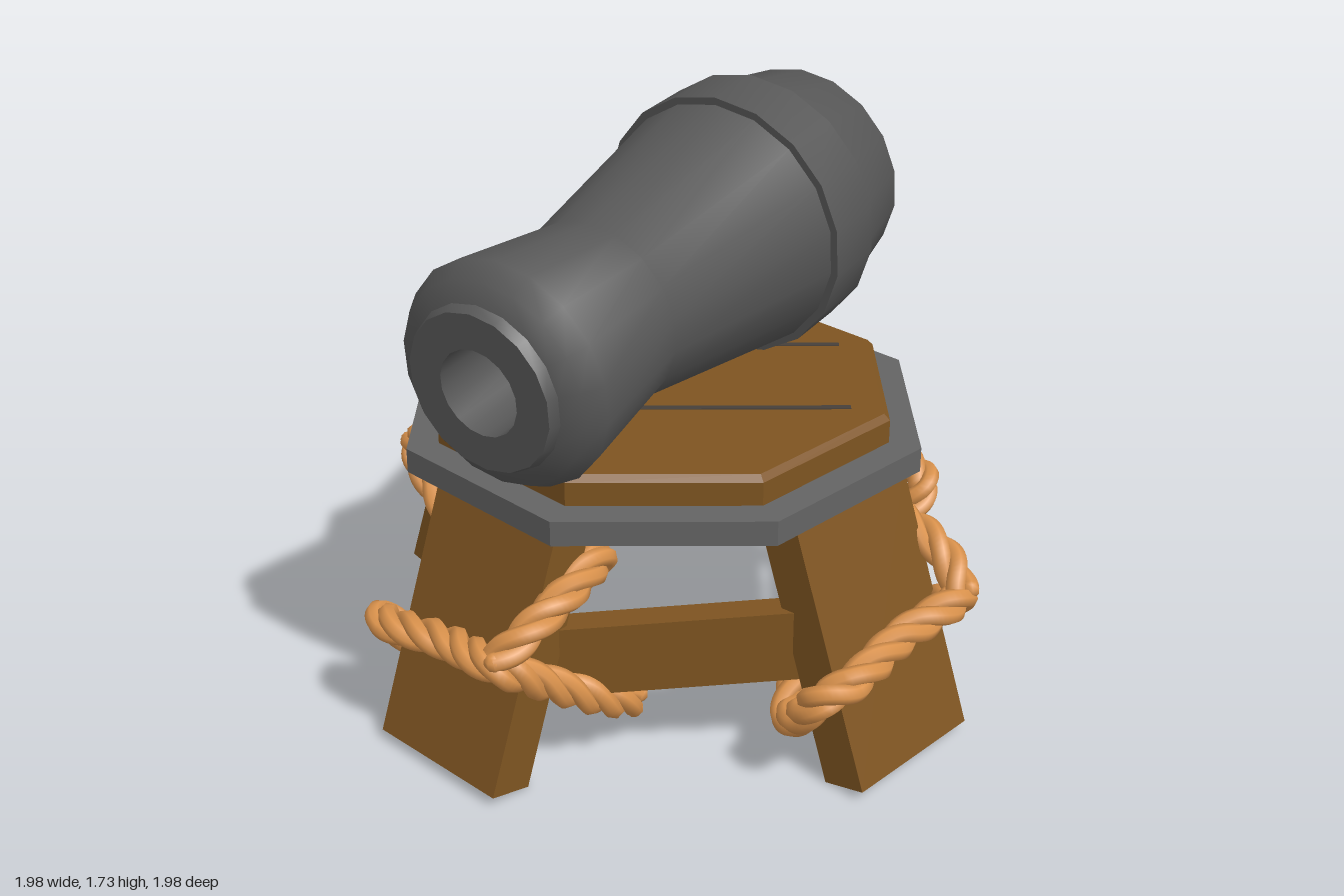
import * as THREE from 'three';
import { toCreasedNormals, mergeGeometries } from 'three/addons/utils/BufferGeometryUtils.js';

const material = (name, color) => {
  const m = new THREE.MeshStandardMaterial({ color });
  m.name = name;
  return m;
};

function addMesh(parent, name, geometry, mat) {
  const mesh = new THREE.Mesh(geometry, mat);
  mesh.name = name;
  parent.add(mesh);
  return mesh;
}

// Three strands twisted around a common path
function ropeGeometry(path) {
  const curve = new THREE.CatmullRomCurve3(path.map(p => new THREE.Vector3(...p)), false, 'centripetal');
  const steps = 220, pitch = 0.31;
  const frames = curve.computeFrenetFrames(steps, false);
  const turns = curve.getLength() / pitch;
  const parts = [];
  for (let s = 0; s < 3; s++) {
    const pts = [];
    for (let i = 0; i <= steps; i++) {
      const a = (i / steps) * turns * Math.PI * 2 + (s * Math.PI * 2) / 3;
      pts.push(curve.getPointAt(i / steps)
        .addScaledVector(frames.normals[i], Math.cos(a) * 0.026)
        .addScaledVector(frames.binormals[i], Math.sin(a) * 0.026));
    }
    parts.push(new THREE.TubeGeometry(new THREE.CatmullRomCurve3(pts), steps, 0.028, 7));
    // Rounded strand ends
    for (const p of [pts[0], pts[steps]]) {
      parts.push(new THREE.SphereGeometry(0.028, 7, 5).translate(p.x, p.y, p.z));
    }
  }
  return mergeGeometries(parts);
}

export function createModel() {
  const wood = material('wood', 0x7e5421);
  const groove = material('groove', 0x46403a);
  const iron = material('barrel iron', 0x575757);
  const rimIron = material('rim iron', 0x646464);
  const hemp = material('rope', 0xda924c);

  const model = new THREE.Group();
  model.name = 'cannonOnStool';

  // Barrel, breech knob to muzzle and back into the bore
  const profile = [
    [0, -0.985], [0.05, -0.985], [0.085, -0.96], [0.1, -0.92], [0.12, -0.91], [0.21, -0.85],
    [0.325, -0.705], [0.38, -0.43], [0.402, -0.43], [0.402, -0.235], [0.38, -0.235], [0.27, 0.39],
    [0.328, 0.775], [0.295, 0.835], [0.24, 0.86], [0.228, 0.89], [0.125, 0.89], [0.125, 0.5], [0, 0.5],
  ].map(([r, s]) => new THREE.Vector2(r, s));
  const barrelGeo = toCreasedNormals(new THREE.LatheGeometry(profile, 18).rotateX(Math.PI / 2), 0.75);
  const barrel = addMesh(model, 'barrel', barrelGeo, iron);
  barrel.position.set(0.011, 1.288, 0);
  barrel.rotation.set(0.095, -0.018, 0);

  // Stool, turned slightly under the barrel
  const stool = new THREE.Group();
  stool.name = 'stool';
  stool.position.set(-0.018, 0, 0.016);
  stool.rotation.y = -0.174;
  model.add(stool);

  // Eight-sided iron rim and wooden seat with a narrow chamfer
  const octagon = (name, top, bottom, y0, y1, mat) => {
    const geo = toCreasedNormals(new THREE.CylinderGeometry(top, bottom, y1 - y0, 8), 0.3);
    const mesh = addMesh(stool, name, geo, mat);
    mesh.position.y = (y0 + y1) / 2;
    mesh.rotation.y = 0.37;
  };
  octagon('rim', 0.785, 0.785, 0.755, 0.828, rimIron);
  octagon('seat', 0.69, 0.69, 0.825, 0.897, wood);
  octagon('seatChamfer', 0.672, 0.69, 0.897, 0.915, wood);

  // Two plank grooves across the seat
  for (const side of [-1, 1]) {
    const line = addMesh(model, 'plankGroove', new THREE.BoxGeometry(1.05, 0.004, 0.022), groove);
    line.position.set(-0.015 + side * 0.122, 0.915, 0.01 + side * 0.183);
    line.rotation.y = 0.588;
  }

  // Legs, ropes and braces repeat around a common centre
  const base = new THREE.Group();
  base.name = 'legs';
  base.position.set(-0.008, 0, -0.002);
  base.rotation.y = -0.174;
  model.add(base);

  // Splayed leg: side outline in (outward, up), extruded across its width
  const legShape = new THREE.Shape([[0.825, 0], [0.955, 0.03], [0.688, 0.765], [0.55, 0.765]]
    .map(p => new THREE.Vector2(...p)));
  const legGeo = new THREE.ExtrudeGeometry(legShape, { depth: 0.475, bevelEnabled: false })
    .translate(0, 0, -0.2375).rotateY(-Math.PI / 2);

  // Rope: tail, over the outer face, behind the leg and back to the first corner
  const ropeGeo = ropeGeometry([
    [0.29, 0.14, 0.46], [0.3, 0.19, 0.56], [0.27, 0.33, 0.77], [0.23, 0.43, 0.91],
    [0, 0.4, 0.89], [-0.25, 0.36, 0.9], [-0.32, 0.33, 0.86], [-0.28, 0.21, 0.76],
    [-0.22, 0.15, 0.67], [-0.1, 0.21, 0.6], [0.03, 0.36, 0.53], [0.14, 0.53, 0.48],
    [0.22, 0.6, 0.52], [0.265, 0.59, 0.65], [0.265, 0.52, 0.83], [0.23, 0.45, 0.92],
  ]);
  const beamGeo = new THREE.BoxGeometry(0.9, 0.215, 0.085);

  for (let k = 0; k < 4; k++) {
    const corner = new THREE.Group();
    corner.name = ['front', 'left', 'back', 'right'][k] + 'LegGroup';
    corner.rotation.y = (k * Math.PI) / 2;
    base.add(corner);
    addMesh(corner, 'leg', legGeo, wood);
    addMesh(corner, 'rope', ropeGeo, hemp);
    // Brace to the next leg, slightly lower at the front and back legs
    const beam = addMesh(corner, 'brace', beamGeo, wood);
    beam.position.set(0.435, 0.365, 0.435);
    beam.rotation.set(0, Math.PI / 4, k % 2 ? -0.07 : 0.07);
  }
  return model;
}
